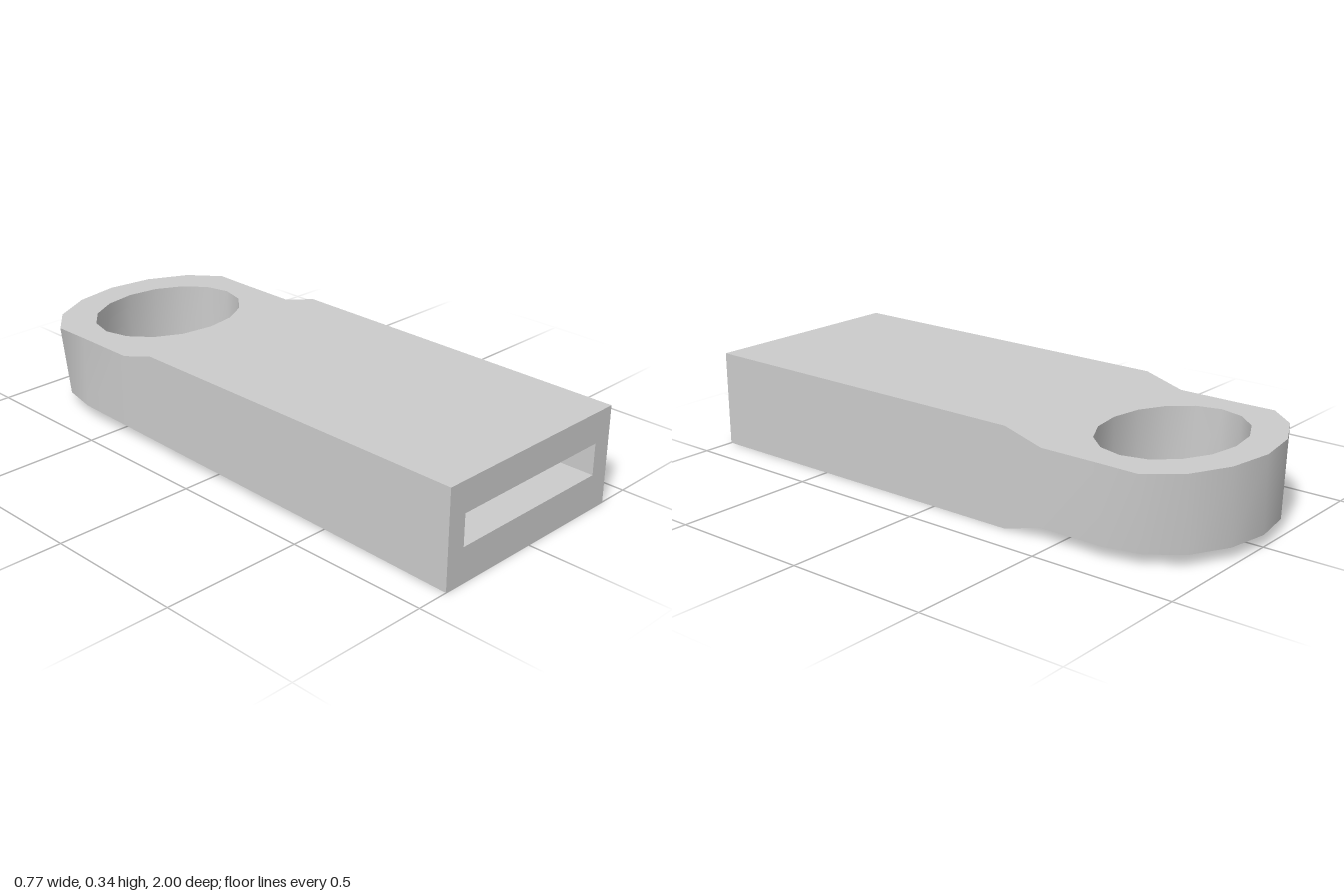
import * as THREE from 'three';
import { toCreasedNormals } from 'three/addons/utils/BufferGeometryUtils.js';

const W = 0.385;                       // half width
const BODY = { low: 0, high: 0.34 };   // heights of the thick body
const EYE = { low: 0.04, high: 0.3 };  // heights of the thinner eyelet
const SLOT = { w: 0.63, h: 0.11, y: 0.177, depth: 0.6 };

// Right half of the plan outline, front to back, as [x, z]
const half = [[W, 1], [W, -0.3], [W, -0.44], [W, -0.667], [0.387, -0.8], [0.3, -0.905], [0.16, -0.975]];
const plan = [...half, [0, -1], ...half.slice().reverse().map(([x, z]) => [-x, z])];

// Top edge steps down to the eyelet behind the body
const topEdge = plan.map(([x, z]) => new THREE.Vector3(x, z > -0.4 ? BODY.high : EYE.high, z));

// Bottom edge: stepped on one side, one long slope on the other, with a narrower rounded end
const bottomEdge = plan.map(([x, z]) => {
  const slope = Math.min(1, (1 - z) / 1.667) * EYE.low;
  const step = z > -0.4 ? BODY.low : EYE.low;
  return new THREE.Vector3(z < -0.7 ? x * 0.92 : x, x < 0 ? slope : step, z);
});

// Oval hole edge at a given height
function holeEdge(y) {
  return Array.from({ length: 16 }, (_, i) => {
    const a = (i / 16) * Math.PI * 2;
    return new THREE.Vector3(Math.cos(a) * 0.288, y, -0.662 + Math.sin(a) * 0.226);
  });
}

// Surface made of plan polygons, all shaded as one level face (sign 1 up, -1 down)
function levelSurface(polygons, sign) {
  const points = [];
  for (const polygon of polygons) {
    const flat = polygon.map((p) => new THREE.Vector2(p.x, p.z));
    for (const [i, j, k] of THREE.ShapeUtils.triangulateShape(flat, [])) {
      const [a, b, c] = [polygon[i], polygon[j], polygon[k]];
      const up = (b.z - a.z) * (c.x - a.x) - (b.x - a.x) * (c.z - a.z);
      points.push(...(up * sign > 0 ? [a, b, c] : [a, c, b]));
    }
  }
  const g = new THREE.BufferGeometry().setFromPoints(points);
  const normals = points.flatMap(() => [0, sign, 0]);
  return g.setAttribute('normal', new THREE.Float32BufferAttribute(normals, 3));
}

// Upright wall between two matching edges
function wall(low, high, closed) {
  const points = [];
  const count = closed ? low.length : low.length - 1;
  for (let i = 0; i < count; i++) {
    const j = (i + 1) % low.length;
    points.push(low[i], low[j], high[j], low[i], high[j], high[i]);
  }
  return toCreasedNormals(new THREE.BufferGeometry().setFromPoints(points), 0.75);
}

// Front face with the slot opening
function frontFace() {
  const rectangle = (w, y0, y1) => [[-w, y0], [w, y0], [w, y1], [-w, y1]].map(([x, y]) => new THREE.Vector2(x, y));
  const shape = new THREE.Shape(rectangle(W, BODY.low, BODY.high));
  shape.holes.push(new THREE.Path(rectangle(SLOT.w / 2, SLOT.y - SLOT.h / 2, SLOT.y + SLOT.h / 2)));
  return new THREE.ShapeGeometry(shape).translate(0, 0, 1);
}

// Inside of the slot: a box turned inside out, open at the front
function slotInside() {
  const g = new THREE.BoxGeometry(SLOT.w, SLOT.h, SLOT.depth);
  g.setIndex(Array.from(g.index.array).slice(0, g.groups[5].start));
  g.clearGroups();
  g.scale(1, 1, -1).translate(0, SLOT.y, 1 - SLOT.depth / 2);
  g.computeVertexNormals();
  return g;
}

export function createModel() {
  const group = new THREE.Group();
  group.name = 'casing';
  const grey = new THREE.MeshStandardMaterial({ color: 0xcccccc });
  grey.name = 'light grey';
  const add = (name, geometry) => {
    const mesh = new THREE.Mesh(geometry, grey);
    mesh.name = name;
    group.add(mesh);
  };

  const t = topEdge, b = bottomEdge;
  const holeTop = holeEdge(EYE.high), holeBottom = holeEdge(EYE.low);
  const frontArc = (hole) => hole.slice(2, 7);
  const backArc = (hole) => [...hole.slice(6), ...hole.slice(0, 3)];

  // Top: body, ramp and eyelet
  add('top', levelSurface([
    [t[14], t[0], t[1], t[13]],
    [t[13], t[1], t[2], ...frontArc(holeTop), t[12]],
    [...t.slice(2, 13), ...backArc(holeTop)],
  ], 1));

  // Underside: body, long slope and eyelet
  add('underside', levelSurface([
    [b[14], b[0], b[1]],
    [b[14], b[1], b[2], ...frontArc(holeBottom), b[11]],
    [...b.slice(2, 12), ...backArc(holeBottom)],
  ], -1));

  add('outerWall', wall(b, t, false));
  add('holeWall', wall(holeBottom, holeTop, true));
  add('frontFace', frontFace());
  add('slotInside', slotInside());

  return group;
}
